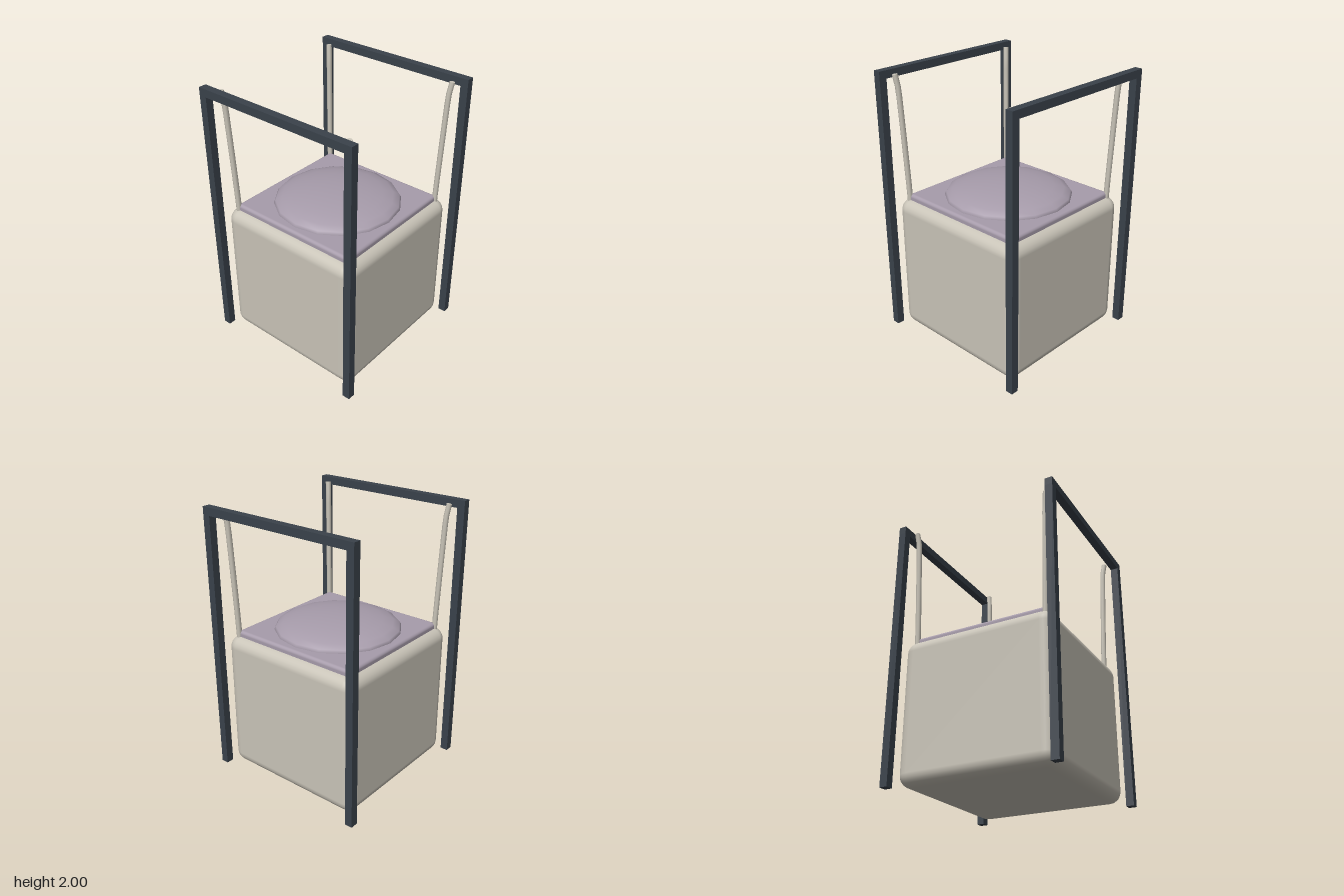
import * as THREE from 'three';
import { RoundedBoxGeometry } from 'three/addons/geometries/RoundedBoxGeometry.js';

export function createModel() {
  const model = new THREE.Group();
  model.name = 'bulkBagOnFrame';

  const material = (name, color) => {
    const m = new THREE.MeshStandardMaterial({ color });
    m.name = name;
    return m;
  };
  const fabric = material('bag fabric', 0xc9c4b8);
  const filling = material('filling', 0xa79cab);
  const steel = material('dark steel', 0x3a424b);

  const add = (name, geometry, mat, x = 0, y = 0, z = 0) => {
    const mesh = new THREE.Mesh(geometry, mat);
    mesh.name = name;
    mesh.position.set(x, y, z);
    model.add(mesh);
    return mesh;
  };

  // Soft cube-shaped bag
  add('bag', new RoundedBoxGeometry(1.145, 1.045, 1.145, 3, 0.085), fabric, 0, 0.53, 0);

  // Filling: flat layer with a shallow heap on it
  add('fillLayer', new RoundedBoxGeometry(1.02, 0.08, 1.02, 2, 0.024), filling, 0, 1.052, 0);
  const heap = new THREE.SphereGeometry(0.465, 16, 6, 0, Math.PI * 2, 0, Math.PI / 2);
  heap.scale(1, 0.1 / 0.465, 1);
  add('fillHeap', heap, filling, 0, 1.086, 0);

  // Lifting straps, one at each corner, bending outwards near the top
  for (const sx of [-1, 1]) {
    for (const sz of [-1, 1]) {
      const points = [
        [0.502, 1.0], [0.505, 1.15], [0.524, 1.78], [0.528, 1.88], [0.54, 1.973],
      ].map(([d, y]) => new THREE.Vector3(sx * d, y, sz * d));
      const path = new THREE.CatmullRomCurve3(points);
      add('strap', new THREE.TubeGeometry(path, 12, 0.02, 8), fabric);
      const cap = add('strapEnd', new THREE.CircleGeometry(0.02, 8), fabric);
      cap.position.copy(points[4]);
      cap.lookAt(points[4].clone().add(path.getTangent(1)));
    }
  }

  // Front and back portal frames: two posts and a top bar
  const t = 0.057;
  const offset = 0.637 - t / 2;
  for (const sz of [-1, 1]) {
    for (const sx of [-1, 1]) {
      add('framePost', new THREE.BoxGeometry(t, 2 - t, t), steel, sx * offset, (2 - t) / 2, sz * offset);
    }
    add('frameTopBar', new THREE.BoxGeometry(1.274, t, t), steel, 0, 2 - t / 2, sz * offset);
  }

  return model;
}
